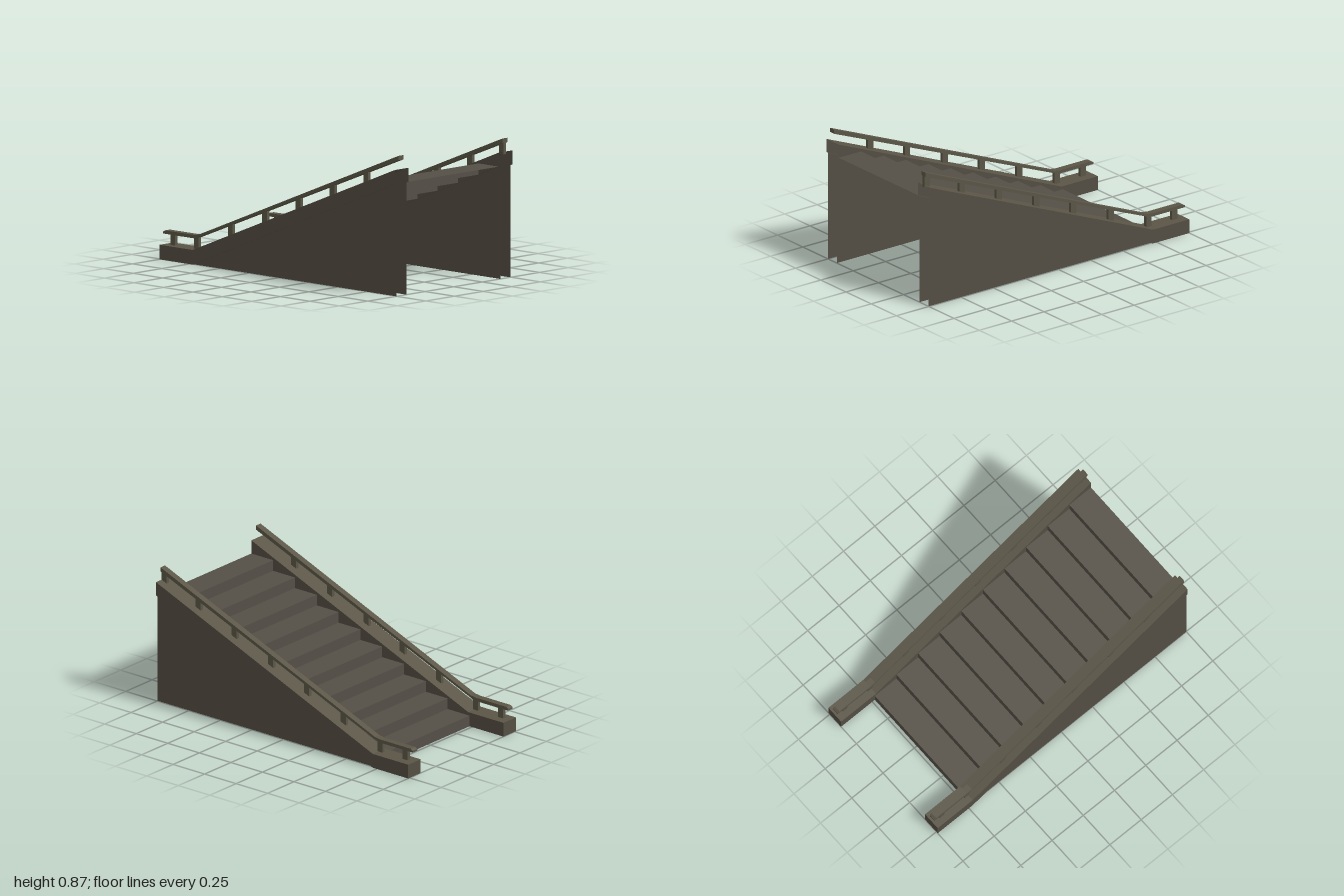
import * as THREE from 'three';

const mat = (name, color) =>
  new THREE.MeshStandardMaterial({ name, color, side: THREE.DoubleSide, flatShading: true });

const KINK = -0.72, FRONT = 1, BACK = -1;
const STEPS = 10, RISE = 0.695;

// Height of a line that slopes up to the front and is level behind the kink
const height = (z, low) => low + Math.max(0, z - KINK) * 0.402;

function mesh(name, geometry, material) {
  const m = new THREE.Mesh(geometry, material);
  m.name = name;
  return m;
}

// Sheet that follows a [z, y] path and spans x0 to x1
function ribbon(path, x0, x1) {
  const pos = [];
  for (let i = 0; i < path.length - 1; i++) {
    const [za, ya] = path[i], [zb, yb] = path[i + 1];
    pos.push(x0, ya, za, x1, ya, za, x1, yb, zb, x0, ya, za, x1, yb, zb, x0, yb, zb);
  }
  const g = new THREE.BufferGeometry();
  g.setAttribute('position', new THREE.Float32BufferAttribute(pos, 3));
  g.computeVertexNormals();
  return g;
}

const outline = (points) => new THREE.Shape(points.map(([z, y]) => new THREE.Vector2(z, y)));

// Upright flat panel in the z-y plane
function panel(points, x) {
  return new THREE.ShapeGeometry(outline(points)).rotateY(-Math.PI / 2).translate(x, 0, 0);
}

// Solid with a z-y outline, centred on x
function slab(points, x, width) {
  return new THREE.ExtrudeGeometry(outline(points), { depth: width, bevelEnabled: false })
    .rotateY(-Math.PI / 2).translate(x + width / 2, 0, 0);
}

export function createModel() {
  const group = new THREE.Group();
  const stairMat = mat('stair brown', 0x544f46);
  const wallMat = mat('wall brown', 0x544e43);
  const trimMat = mat('trim brown', 0x5a5546);

  // Stairs: a thin zigzag of risers and treads
  const zig = [[-0.73, 0]];
  for (let i = 0; i < STEPS; i++) {
    const y = RISE * (i + 1) / STEPS;
    zig.push([-0.73 + 1.73 * i / STEPS, y], [-0.73 + 1.73 * (i + 1) / STEPS, y]);
  }
  group.add(mesh('stairs', ribbon(zig, -0.394, 0.394), stairMat));

  const top = [[FRONT, height(FRONT, 0.09)], [KINK, 0.09], [BACK, 0.09]];
  const under = [[FRONT, RISE], [KINK, 0], [BACK, 0]];

  for (const side of [1, -1]) {
    const s = new THREE.Group();
    s.name = side > 0 ? 'leftBalustrade' : 'rightBalustrade';
    const inner = side * 0.394, outer = side * 0.513;
    const wallMid = side > 0 ? 0.452 : -0.457;
    const railMid = side > 0 ? 0.448 : -0.46;
    const walls = [wallMid - side * 0.044, wallMid + side * 0.044];

    // Thin side walls under the slope
    for (const x of walls)
      s.add(mesh('sideWall', panel([[FRONT, 0], [FRONT, RISE], [KINK, 0]], x), wallMat));

    // Hollow coping: top, two faces, back end and lower lips
    s.add(mesh('copingTop', ribbon(top, inner, outer), trimMat));
    const face = [...top, ...[...under].reverse()];
    for (const x of [inner, outer]) s.add(mesh('copingFace', panel(face, x), wallMat));
    s.add(mesh('copingEnd', ribbon([[BACK, 0], [BACK, 0.09]], inner, outer), wallMat));
    s.add(mesh('innerLip', ribbon(under, inner, walls[0]), wallMat));
    s.add(mesh('outerLip', ribbon(under, walls[1], outer), wallMat));

    // Handrail, with a clipped corner at its level end
    const rail = [
      [FRONT, 0.865], [-0.70, 0.183], [-0.74, 0.177], [-0.985, 0.177], [BACK, 0.168],
      [BACK, 0.156], [-0.73, 0.156], [FRONT, 0.838],
    ];
    s.add(mesh('handrail', slab(rail, railMid, 0.043), trimMat));

    // Posts; the topmost one stands on one side only
    for (const z of [0.98, 0.71, 0.425, 0.135, -0.15, -0.44, -0.73, -0.93]) {
      if (side < 0 && z > 0.9) continue;
      const a = z - 0.02, b = z + 0.02, base = height(a, 0.09);
      const post = [[a, base], [b, base], [b, height(b, 0.16)], [a, height(a, 0.16)]];
      s.add(mesh('post', slab(post, railMid, 0.022), trimMat));
    }
    group.add(s);
  }
  return group;
}
